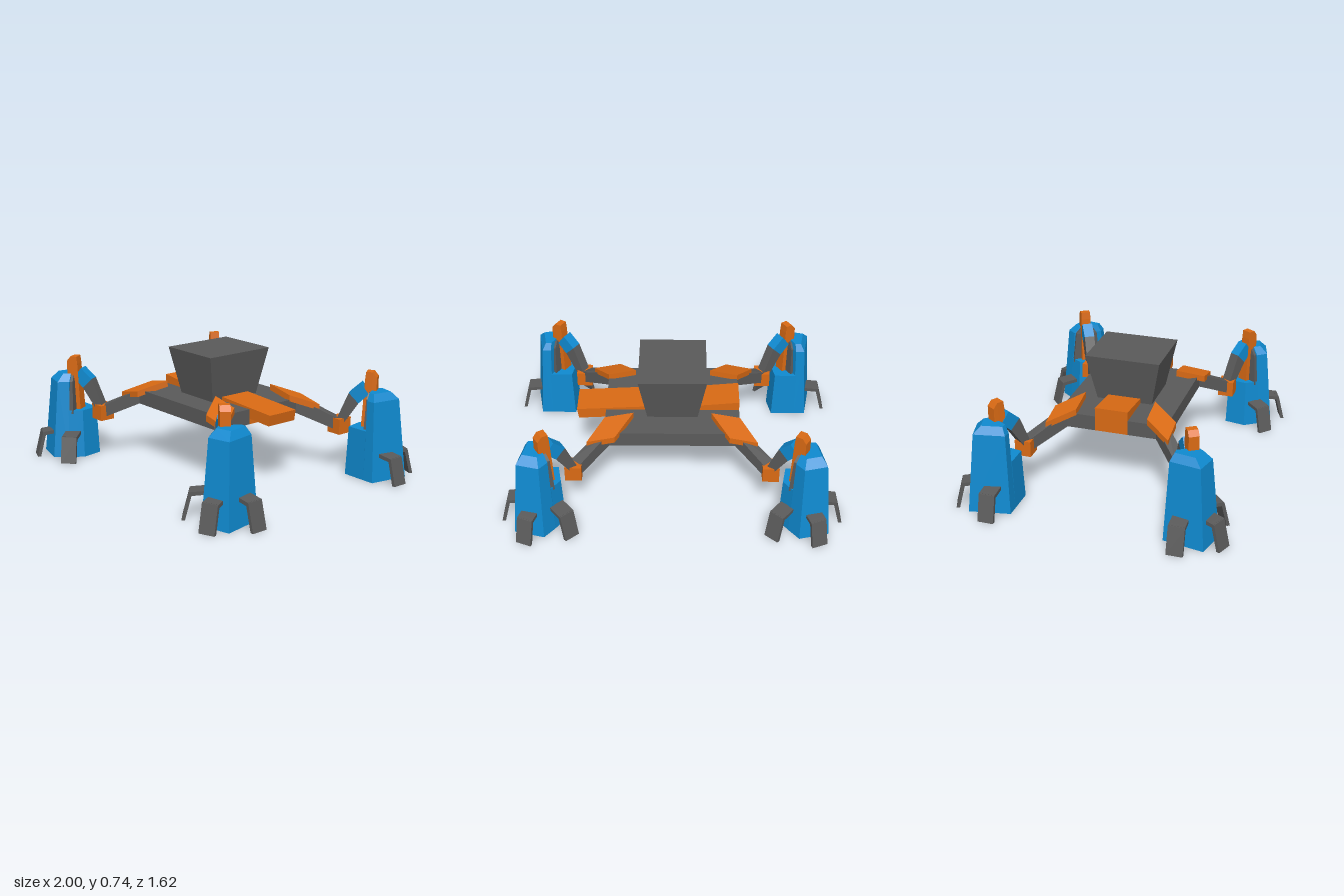
import * as THREE from 'three';
import { ConvexGeometry } from 'three/addons/geometries/ConvexGeometry.js';

const mat = (color) => new THREE.MeshStandardMaterial({ color, flatShading: true });
const grey = mat(0x5a5a5a), orange = mat(0xd96a14), blue = mat(0x0f8ad0);

// Convex part from corner points [x, y, z], optionally mirrored by signs
function hull(parent, name, material, points, sx = 1, sz = 1) {
  const v = points.map(([x, y, z]) => new THREE.Vector3(x * sx, y, z * sz));
  const mesh = new THREE.Mesh(new ConvexGeometry(v), material);
  mesh.name = name;
  parent.add(mesh);
}

// Corners of a flat [x, z] outline at height y, scaled about a centre
const ring = (outline, y, s = 1, cx = 0, cz = 0) =>
  outline.map(([x, z]) => [cx + (x - cx) * s, y, cz + (z - cz) * s]);

const rect = (x0, x1, z0, z1) => [[x0, z0], [x1, z0], [x1, z1], [x0, z1]];

// Side profile [s, y] laid along a horizontal direction and given a width
function slab(profile, ox, oz, dx, dz, width) {
  const h = width / 2;
  return profile.flatMap(([s, y]) => [-h, h].map((t) =>
    [ox + dx * s - dz * t, y, oz + dz * s + dx * t]));
}

const DX = 0.85, DZ = 0.527; // outward direction of a leg

function addLeg(parent, sx, sz) {
  const leg = new THREE.Group();
  leg.name = 'leg';
  parent.add(leg);
  const part = (name, material, points) => hull(leg, name, material, points, sx, sz);

  // Shoulder plate, tilted over the body corner
  const plate = [[0.23, 0.515, 0.215], [0.40, 0.48, 0.215], [0.50, 0.417, 0.37], [0.335, 0.452, 0.37]];
  part('shoulderPlate', orange, [...plate, ...plate.map(([x, y, z]) => [x, y - 0.038, z])]);

  // Lower arm and knee block
  part('lowerArm', grey, [
    ...[0.36, 0.45].flatMap((y) => [[0.4, y, 0.27], [0.37, y, 0.33]]),
    ...[0.26, 0.335].flatMap((y) => [[0.595, y, 0.44], [0.54, y, 0.49]]),
  ]);
  part('knee', orange, [0.245, 0.34].flatMap((y) => ring(rect(0.525, 0.622, 0.418, 0.515), y)));

  // Upper arm with its coloured elbow
  part('upperArm', grey, slab([[-0.01, 0.33], [0.06, 0.5], [0.12, 0.44], [0.035, 0.31]], 0.573, 0.465, DX, DZ, 0.065));
  part('elbow', blue, slab([[0.06, 0.5], [0.13, 0.565], [0.18, 0.5], [0.12, 0.44]], 0.573, 0.465, DX, DZ, 0.066));

  // Tall outer half of the foot
  const tall = [[0.80, 0.45], [0.87, 0.45], [0.915, 0.69], [0.74, 0.735], [0.68, 0.66]];
  part('footTower', blue, [
    ...ring(tall, 0),
    ...ring(tall, 0.48, 0.75, 0.75, 0.54),
    ...ring(tall, 0.525, 0.5, 0.765, 0.54),
  ]);
  // Low inner half of the foot
  const low = [[0.80, 0.45], [0.68, 0.66], [0.625, 0.58], [0.65, 0.45]];
  part('footStep', blue, [...ring(low, 0), ...ring(low, 0.3, 0.9, 0.76, 0.54)]);

  // Backing panel and fin on the inner side of the tower
  part('towerPanel', grey, [
    ...slab([[-0.015, 0.28], [0.015, 0.28]], 0.728, 0.56, DX, DZ, 0.18),
    ...slab([[-0.012, 0.48], [0.018, 0.48]], 0.733, 0.56, DX, DZ, 0.14),
    ...slab([[-0.01, 0.515], [0.018, 0.515]], 0.738, 0.56, DX, DZ, 0.08),
  ]);
  part('fin', orange, [
    ...slab([[-0.02, 0.29], [0.02, 0.29]], 0.708, 0.55, DX, DZ, 0.07),
    ...slab([[-0.035, 0.59], [-0.03, 0.635], [0.01, 0.635], [0.035, 0.605], [0.035, 0.5]], 0.732, 0.567, DX, DZ, 0.06),
  ]);

  // Three bent claws: [tip x, tip z, angle in degrees]
  for (const [x, z, deg] of [[1, 0.55, 0], [0.855, 0.793, 68], [0.575, 0.735, 132]]) {
    const a = THREE.MathUtils.degToRad(deg), c = Math.cos(a), s = Math.sin(a);
    part('clawTop', grey, slab([[-0.14, 0.17], [-0.045, 0.16], [-0.048, 0.138], [-0.14, 0.148]], x, z, c, s, 0.095));
    part('clawTip', grey, slab([[-0.062, 0.162], [-0.04, 0.158], [0, 0], [-0.02, 0]], x, z, c, s, 0.095));
  }
}

export function createModel() {
  const model = new THREE.Group();
  model.name = 'fourLeggedRobot';

  // Body: a coloured middle band between two halves with clipped corners
  const half = [[-0.4, 0.1], [0.4, 0.1], [0.4, 0.27], [0.37, 0.33], [-0.37, 0.33], [-0.4, 0.27]];
  for (const sz of [1, -1]) {
    hull(model, 'bodyHalf', grey, [...ring(half, 0.36), ...ring(half, 0.45)], 1, sz);
  }
  const band = rect(-0.4, 0.4, -0.1, 0.1);
  hull(model, 'bodyBand', orange, [...ring(band, 0.36), ...ring(band, 0.45)]);

  // Cabin, widening upward
  hull(model, 'cabin', grey, [
    ...ring(rect(-0.15, 0.15, -0.17, 0.17), 0.45),
    ...ring(rect(-0.2, 0.2, -0.227, 0.227), 0.735),
  ]);

  // Long plate on one end, short wedge on the other
  hull(model, 'longPlate', orange, slab([[0.12, 0.475], [0.575, 0.45], [0.565, 0.385], [0.12, 0.41]], 0, 0, 1, 0, 0.2));
  hull(model, 'shortWedge', orange, slab([[-0.4, 0.505], [-0.12, 0.478], [-0.12, 0.44], [-0.4, 0.44]], 0, 0, 1, 0, 0.2));

  for (const sx of [1, -1]) for (const sz of [1, -1]) addLeg(model, sx, sz);
  return model;
}
